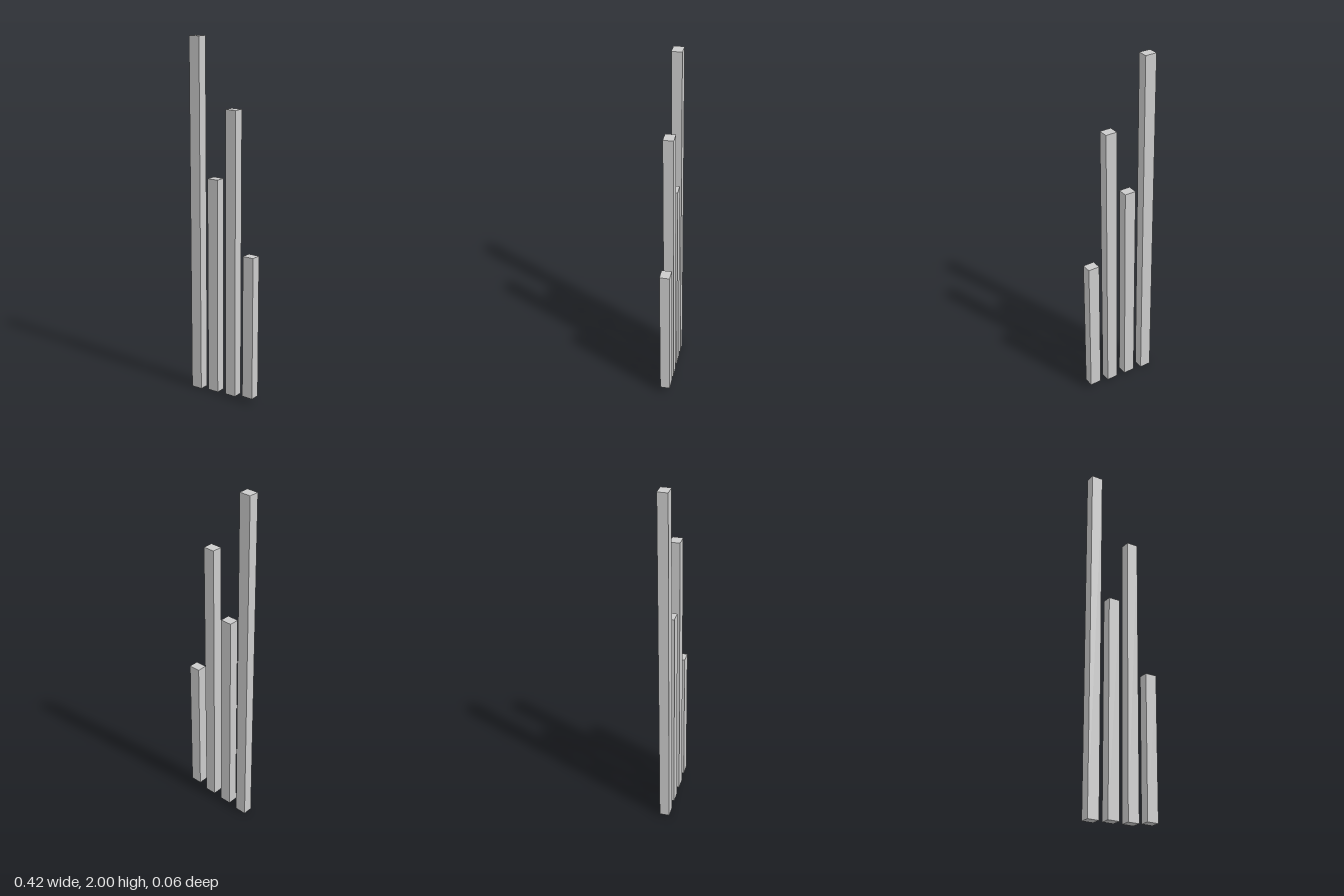
import * as THREE from 'three';

export function createModel() {
  const group = new THREE.Group();
  group.name = 'barSet';
  const material = new THREE.MeshStandardMaterial({ color: 0xcccccc, flatShading: true });
  const width = 0.066, depth = 0.056;

  // Four upright square-edged bars: centre x, bottom y, top y
  const bars = [
    ['tallBar', -0.177, 0, 2],
    ['mediumBar', -0.059, 0.011, 1.245],
    ['longBar', 0.06, 0.016, 1.63],
    ['shortBar', 0.177, 0.033, 0.849],
  ];
  for (const [name, x, bottom, top] of bars) {
    const bar = new THREE.Mesh(new THREE.BoxGeometry(width, top - bottom, depth), material);
    bar.name = name;
    bar.position.set(x, (bottom + top) / 2, 0);
    group.add(bar);
  }
  return group;
}
